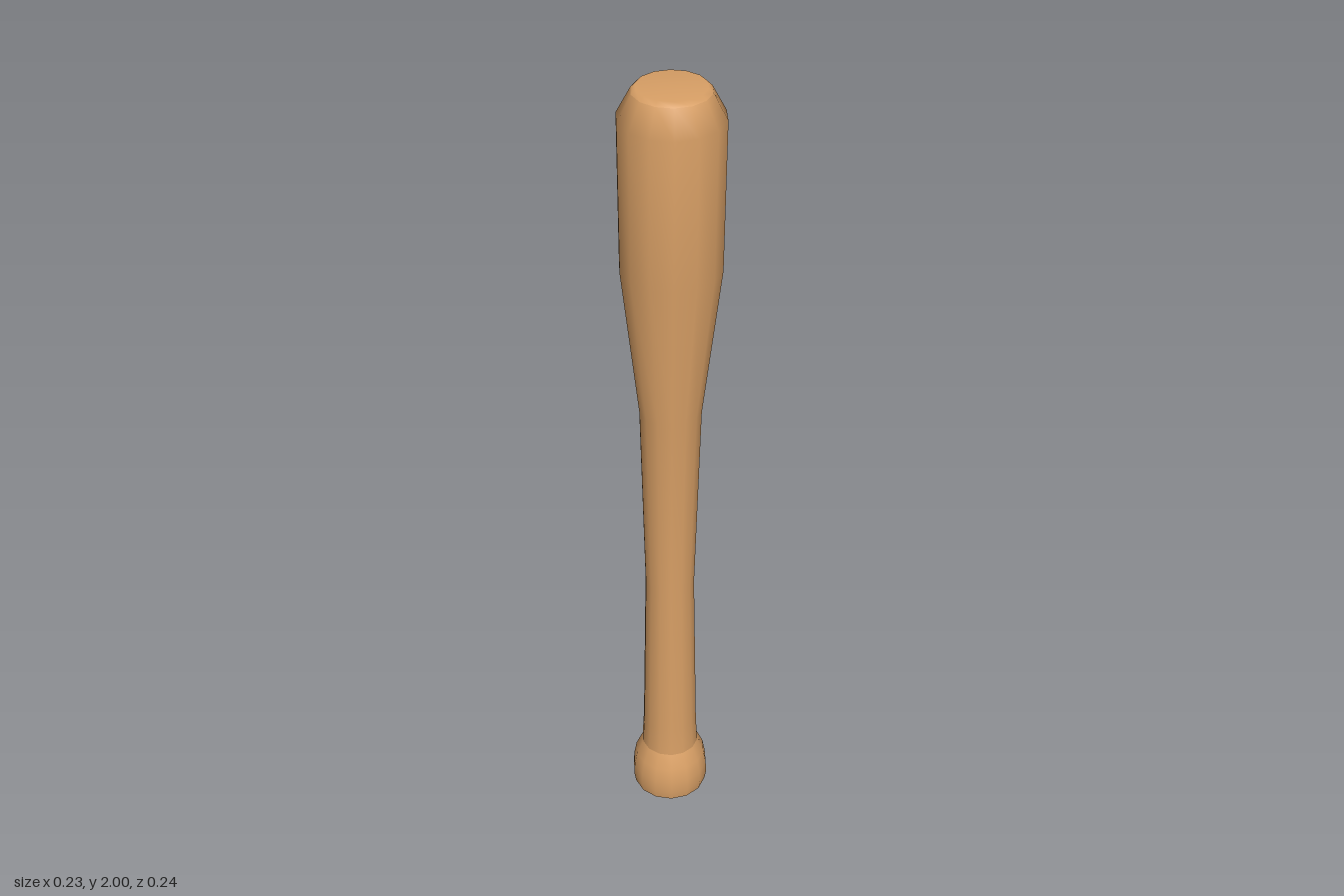
import * as THREE from 'three';

const SIDES = 14;

// Turned section from [radius, height] pairs, leaning very slightly towards the base
function turned(name, profile, material) {
  const points = profile.map(([r, y]) => new THREE.Vector2(r, y));
  const geometry = new THREE.LatheGeometry(points, SIDES);
  const pos = geometry.attributes.position;
  for (let i = 0; i < pos.count; i++) {
    const lean = 0.004 * Math.min(1, (2 - pos.getY(i)) / 1.2);
    pos.setX(i, pos.getX(i) - lean);
    pos.setZ(i, pos.getZ(i) + lean);
  }
  const mesh = new THREE.Mesh(geometry, material);
  mesh.name = name;
  return mesh;
}

export function createModel() {
  const wood = new THREE.MeshStandardMaterial({ color: 0xd9a066 });
  const bat = new THREE.Group();
  bat.name = 'bat';

  // Flat underside and flared knob
  bat.add(turned('knobBase', [[0, 0], [0.094, 0]], wood));
  bat.add(turned('knob', [[0.094, 0], [0.098, 0.025], [0.097, 0.06], [0.09, 0.1], [0.073, 0.14]], wood));

  // Slim handle widening into the barrel, with a bevelled end
  bat.add(turned('handleAndBarrel', [
    [0.073, 0.14], [0.069, 0.22], [0.061, 0.68], [0.074, 1.19],
    [0.117, 1.57], [0.12, 1.93], [0.088, 1.99],
  ], wood));

  // Nearly flat end cap
  bat.add(turned('endCap', [[0.088, 1.99], [0.078, 2], [0, 2]], wood));

  return bat;
}
